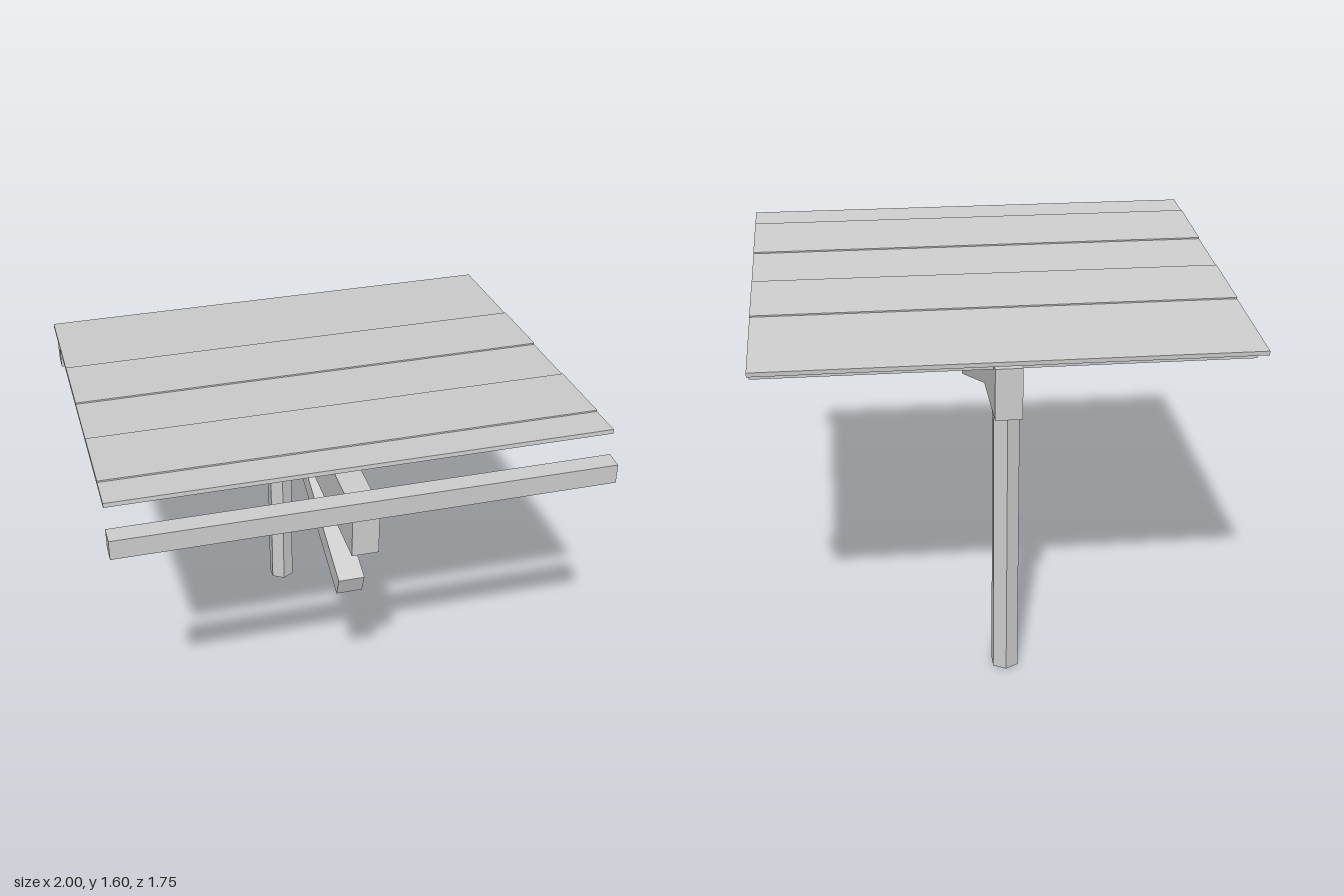
import * as THREE from 'three';

export function createModel() {
  const model = new THREE.Group();
  model.name = 'cantileverShelter';

  const timber = new THREE.MeshStandardMaterial({ color: 0xcccccc });
  timber.name = 'pale grey';

  const add = (parent, name, geometry, x, y, z, tilt = 0) => {
    const mesh = new THREE.Mesh(geometry, timber);
    mesh.name = name;
    mesh.position.set(x, y, z);
    mesh.rotation.x = tilt;
    parent.add(mesh);
    return mesh;
  };
  const box = (w, h, d) => new THREE.BoxGeometry(w, h, d);

  // Hexagonal post with a corner facing forward
  const postGeometry = new THREE.CylinderGeometry(0.06, 0.06, 1.405, 6).toNonIndexed();
  postGeometry.computeVertexNormals();
  add(model, 'post', postGeometry, 0, 0.7025, -0.672);

  // Horizontal arm reaching forward from the post
  add(model, 'arm', box(0.11, 0.217, 1.575), 0, 1.29, 0.0125);

  // Sloping brace, its upper end buried in the arm
  const slope = THREE.MathUtils.degToRad(20);
  const braceLength = 1.1;
  add(model, 'brace', box(0.11, 0.095, braceLength), 0,
    0.873 + Math.sin(slope) * braceLength / 2,
    0.6 - Math.cos(slope) * braceLength / 2, slope);

  // Long beams under the front and back of the roof
  add(model, 'frontBeam', box(2, 0.083, 0.08), 0, 1.4405, 0.835);
  add(model, 'backBeam', box(2, 0.093, 0.08), 0, 1.4215, -0.675);

  // Roof falling towards the back, with two raised strips
  const roof = new THREE.Group();
  roof.name = 'roof';
  roof.position.set(0, 1.533, -0.036);
  roof.rotation.x = -0.08;
  model.add(roof);
  add(roof, 'roofSlab', box(2, 0.018, 1.677), 0, -0.009, 0);
  [0.503, -0.167].forEach((z) => {
    add(roof, 'roofStrip', box(2, 0.006, 0.35), 0, 0.003, z);
  });

  return model;
}
